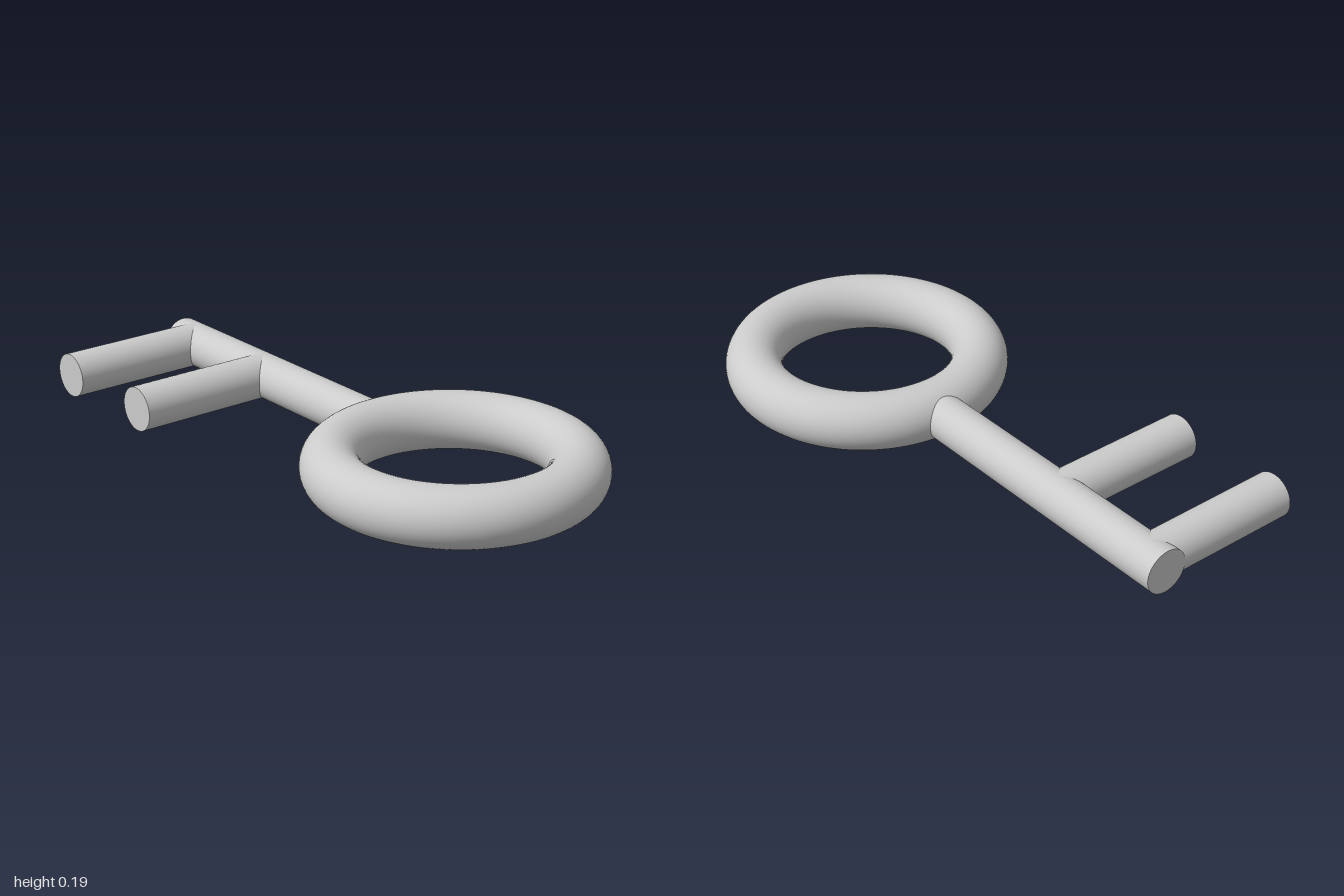
import * as THREE from 'three';

export function createModel() {
  const model = new THREE.Group();
  const material = new THREE.MeshStandardMaterial({ color: 0xcccccc });
  const midY = 0.0975, shaftX = 0.028, rodRadius = 0.0765;

  // Capped round rod between two points at mid height
  function rod(name, x1, z1, x2, z2) {
    const from = new THREE.Vector3(x1, midY, z1);
    const to = new THREE.Vector3(x2, midY, z2);
    const axis = to.clone().sub(from);
    const mesh = new THREE.Mesh(
      new THREE.CylinderGeometry(rodRadius, rodRadius, axis.length(), 64), material);
    mesh.name = name;
    mesh.position.copy(from).add(to).multiplyScalar(0.5);
    mesh.quaternion.setFromUnitVectors(new THREE.Vector3(0, 1, 0), axis.normalize());
    model.add(mesh);
  }

  // Ring-shaped handle lying flat
  const bow = new THREE.Mesh(new THREE.TorusGeometry(0.389, 0.0975, 48, 128), material);
  bow.name = 'ringHandle';
  bow.rotation.x = Math.PI / 2;
  bow.position.set(0.009, midY, 0.5135);
  model.add(bow);

  // Shaft running back from the ring
  rod('shaft', shaftX, 0.11, shaftX, -1);

  // Two teeth on the right-hand side
  [['endTooth', -0.9235], ['innerTooth', -0.509]].forEach(([name, z]) =>
    rod(name, shaftX, z, -0.5, z));

  return model;
}
